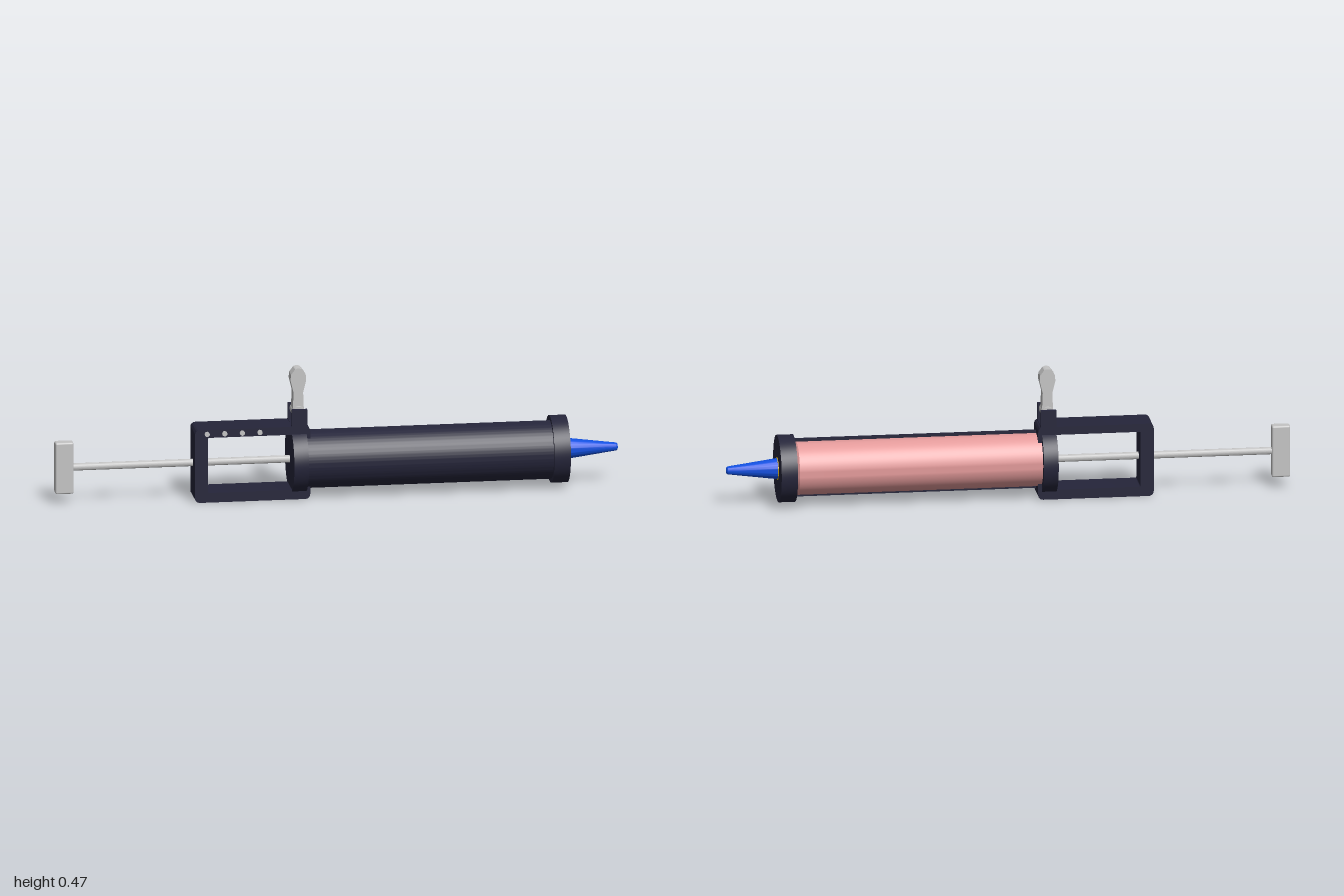
import * as THREE from 'three';
import { toCreasedNormals } from 'three/addons/utils/BufferGeometryUtils.js';
import { RoundedBoxGeometry } from 'three/addons/geometries/RoundedBoxGeometry.js';

const AXIS = 0.133; // height of the barrel axis

export function createModel() {
  const model = new THREE.Group();
  model.name = 'dispenserGun';
  const paint = (name, color) => {
    const m = new THREE.MeshStandardMaterial({ color });
    m.name = name;
    return m;
  };
  const navy = paint('navy', 0x25253a);
  const steel = paint('steel', 0xc4c4c4);
  const pink = paint('pink', 0xe39a9a);
  const blue = paint('blue', 0x1150e0);
  const yellow = paint('yellow', 0xe0b414);

  const add = (name, geometry, material, x = 0, y = 0, z = 0) => {
    const mesh = new THREE.Mesh(geometry, material);
    mesh.name = name;
    mesh.position.set(x, y, z);
    model.add(mesh);
    return mesh;
  };
  // solid of revolution along x, from [x, radius] pairs in rising x
  const turned = (name, profile, material) => {
    const points = profile.map(([x, r]) => new THREE.Vector2(r, x));
    const g = new THREE.LatheGeometry(points, 64).rotateZ(-Math.PI / 2);
    return add(name, toCreasedNormals(g, 0.5), material, 0, AXIS);
  };
  // outline in x,y extruded symmetrically about z = 0
  const slab = (shape, width) => toCreasedNormals(
    new THREE.ExtrudeGeometry(shape, { depth: width, bevelEnabled: false, curveSegments: 16 })
      .translate(0, 0, -width / 2), 0.5);
  const roundRect = (path, x0, y0, x1, y1, r) => {
    path.moveTo(x0 + r, y0);
    path.lineTo(x1 - r, y0).quadraticCurveTo(x1, y0, x1, y0 + r);
    path.lineTo(x1, y1 - r).quadraticCurveTo(x1, y1, x1 - r, y1);
    path.lineTo(x0 + r, y1).quadraticCurveTo(x0, y1, x0, y1 - r);
    path.lineTo(x0, y0 + r).quadraticCurveTo(x0, y0, x0 + r, y0);
    return path;
  };

  // half-round barrel shell, open towards the back
  const shell = new THREE.Shape();
  shell.absarc(0, 0, 0.105, Math.PI / 2, Math.PI * 1.5, false);
  shell.absarc(0, 0, 0.096, Math.PI * 1.5, Math.PI / 2, true);
  const shellGeometry = new THREE.ExtrudeGeometry(shell, {
    depth: 0.88, bevelEnabled: false, curveSegments: 48,
  }).rotateY(Math.PI / 2);
  add('barrelShell', toCreasedNormals(shellGeometry, 0.5), navy, -0.115, AXIS);

  // end discs
  turned('frontCap', [[0.76, 0], [0.76, 0.119], [0.818, 0.119], [0.818, 0]], navy);
  turned('rearCollar', [[-0.165, 0], [-0.165, 0.119], [-0.113, 0.119], [-0.113, 0]], navy);

  // cartridge and nozzle
  turned('cartridge', [[-0.114, 0], [-0.114, 0.095], [0.75, 0.095], [0.758, 0.087], [0.758, 0]], pink);
  turned('nozzleRing', [[0.815, 0], [0.815, 0.04], [0.82, 0.04], [0.82, 0]], yellow);
  turned('nozzle', [[0.817, 0], [0.817, 0.0375], [0.825, 0.0365], [0.995, 0.014], [1, 0.01], [1, 0]], blue);

  // rectangular handle frame
  const frame = roundRect(new THREE.Shape(), -0.51, 0, -0.1, 0.265, 0.02);
  frame.holes.push(roundRect(new THREE.Path(), -0.463, 0.035, -0.164, 0.236, 0.004));
  add('handleFrame', slab(frame, 0.116), navy);

  // screws along the top bar
  for (let i = 0; i < 4; i++) {
    add('screw', new THREE.CylinderGeometry(0.009, 0.009, 0.012, 20).rotateX(Math.PI / 2),
      steel, -0.467 + i * 0.0625, 0.25, 0.059);
  }

  // lever yoke
  add('yokeBase', new THREE.BoxGeometry(0.055, 0.03, 0.116), navy, -0.1375, 0.251);
  for (const side of [-1, 1]) {
    add('yokeProng', new THREE.BoxGeometry(0.055, 0.065, 0.017), navy, -0.1375, 0.292, side * 0.0495);
  }

  // lever with its pivot
  add('leverPin', new THREE.CylinderGeometry(0.01, 0.01, 0.09, 20).rotateX(Math.PI / 2), steel, -0.1375, 0.308);
  add('leverHub', new THREE.CylinderGeometry(0.023, 0.023, 0.07, 32).rotateX(Math.PI / 2), steel, -0.1375, 0.308);
  const half = [[0.02, 0.308], [0.017, 0.38], [0.028, 0.425], [0.026, 0.445], [0.012, 0.464], [0.005, 0.467]];
  const outline = [...half, ...half.map(([x, y]) => [-x, y]).reverse()];
  const lever = new THREE.Shape(outline.map(([x, y]) => new THREE.Vector2(x, y)));
  add('lever', slab(lever, 0.048), steel, -0.1375);

  // plunger rod and its grip
  turned('plungerRod', [[-0.945, 0], [-0.945, 0.013], [-0.12, 0.013], [-0.12, 0]], steel);
  add('plungerGrip', new RoundedBoxGeometry(0.065, 0.187, 0.04, 2, 0.006), steel, -0.9675, AXIS);

  return model;
}
